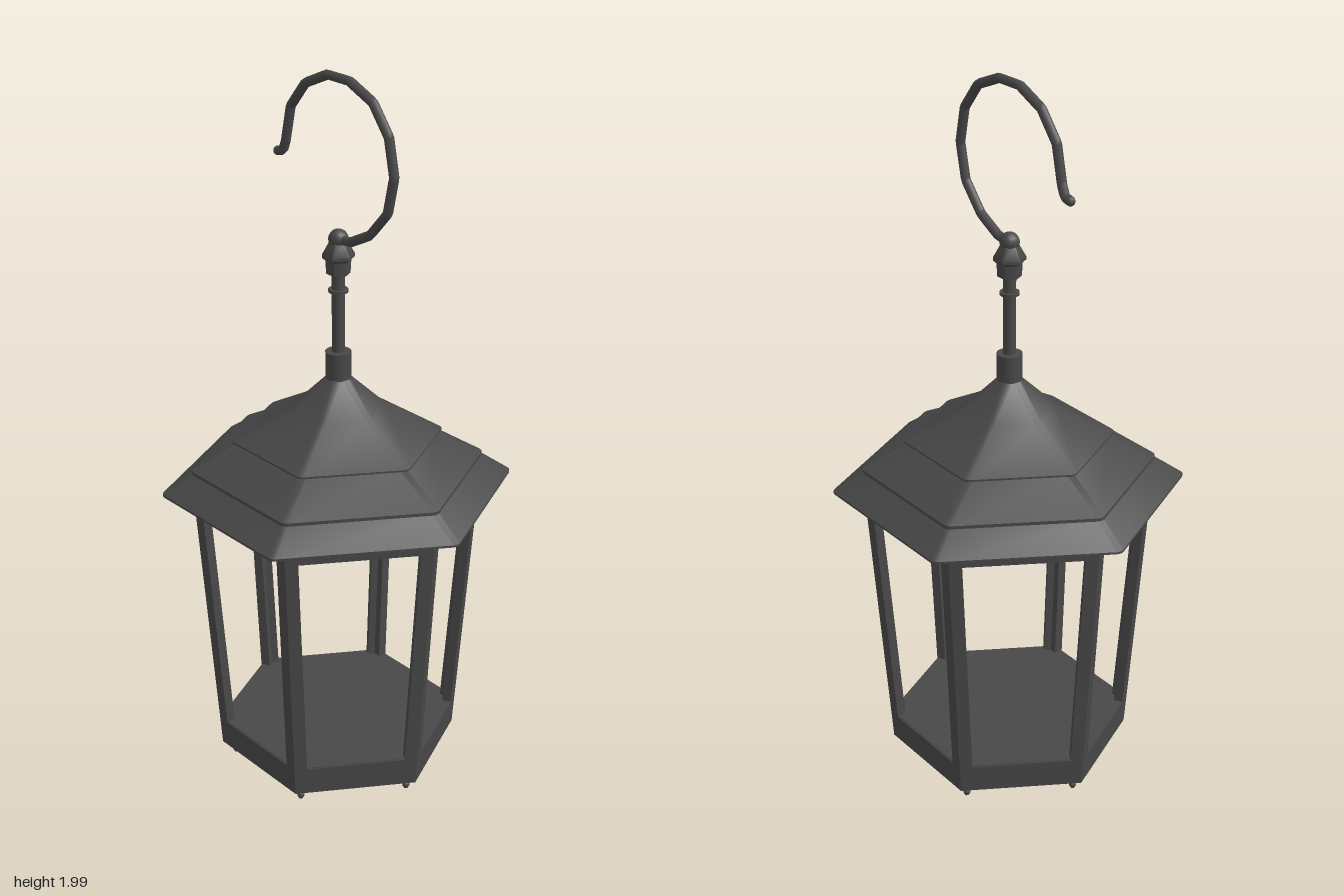
import * as THREE from 'three';
import { toCreasedNormals } from 'three/addons/utils/BufferGeometryUtils.js';

const iron = new THREE.MeshStandardMaterial({ color: 0x484848 });

// Points of a hexagon (corner on +x) with slightly rounded corners
function hexRing(r, y, bevel) {
  const b = Math.min(bevel, r * 0.7), c = r - b / Math.cos(Math.PI / 6), pts = [];
  for (let k = 0; k < 6; k++) {
    const a = k * Math.PI / 3;
    for (let s = -1; s <= 1; s++) {
      const t = a + s * Math.PI / 6;
      pts.push([c * Math.cos(a) + b * Math.cos(t), y, -c * Math.sin(a) - b * Math.sin(t)]);
    }
  }
  return pts;
}

// Hexagonal solid through a profile of [corner radius, y], walked upwards on the outside
function hexLoft(profile, bevel, crease = 0.55) {
  const rings = profile.map(([r, y]) => hexRing(r, y, bevel)), pos = [];
  for (let i = 0; i + 1 < rings.length; i++) {
    const lo = rings[i], hi = rings[i + 1];
    for (let j = 0; j < lo.length; j++) {
      const n = (j + 1) % lo.length;
      if (profile[i][0] > 0) pos.push(...lo[j], ...lo[n], ...hi[n]);
      if (profile[i + 1][0] > 0) pos.push(...lo[j], ...hi[n], ...hi[j]);
    }
  }
  const g = new THREE.BufferGeometry();
  g.setAttribute('position', new THREE.Float32BufferAttribute(pos, 3));
  return toCreasedNormals(g, crease);
}

function outline(target, points) {
  points.forEach(([x, y], i) => (i ? target.lineTo(x, y) : target.moveTo(x, y)));
  target.closePath();
  return target;
}

export function createModel() {
  const model = new THREE.Group();
  model.name = 'hangingLantern';
  const add = (name, geometry, parent = model) => {
    const mesh = new THREE.Mesh(geometry, iron);
    mesh.name = name;
    parent.add(mesh);
    return mesh;
  };

  // Roof: three overlapping hexagonal tiers
  add('roofEave', hexLoft([[0, 0.895], [0.47, 0.895], [0.47, 0.901], [0.385, 0.958], [0, 0.958]], 0.02));
  add('roofMiddle', hexLoft([[0, 0.953], [0.392, 0.953], [0.392, 0.962], [0.25, 1.038], [0, 1.038]], 0.02));
  add('roofTop', hexLoft([[0, 1.033], [0.28, 1.033], [0.28, 1.038], [0.127, 1.122],
    [0.035, 1.205], [0, 1.205]], 0.02));

  // Six tapered window frames leaning outwards
  const y0 = 0.116, y1 = 0.9, r0 = 0.328, r1 = 0.387, cos30 = Math.cos(Math.PI / 6);
  const lean = Math.atan2((r1 - r0) * cos30, y1 - y0), stretch = 1 / Math.cos(lean);
  const radius = y => r0 + (r1 - r0) * (y - y0) / (y1 - y0);
  const at = (y, side, inset) => [side * (radius(y) / 2 - inset), (y - y0) * stretch];
  const frameShape = outline(new THREE.Shape(),
    [at(y0, -1, 0), at(y0, 1, 0), at(y1, 1, 0), at(y1, -1, 0)]);
  const sill = 0.195, lintel = 0.837;
  frameShape.holes.push(outline(new THREE.Path(),
    [at(sill, -1, 0.034), at(lintel, -1, 0.034), at(lintel, 1, 0.034), at(sill, 1, 0.034)]));
  const depth = 0.025;
  const frameGeo = new THREE.ExtrudeGeometry(frameShape, { depth, bevelEnabled: false });
  frameGeo.translate(0, 0, -depth).rotateX(lean).translate(0, y0, r0 * cos30);
  const frames = new THREE.Group();
  frames.name = 'windowFrames';
  model.add(frames);
  for (let k = 0; k < 6; k++) add('windowFrame', frameGeo, frames).rotation.y = k * Math.PI / 3;

  // Ceiling slab level with the window tops
  add('ceiling', hexLoft([[0, lintel], [radius(lintel) - 0.004, lintel], [0.382, 0.897], [0, 0.897]], 0.012));

  // Base: floor level with the sills, softly shaded bowl beneath
  add('baseBowl', hexLoft([[0, 0.007], [0.07, 0.012], [0.14, 0.027], [0.215, 0.113], [0.325, 0.114],
    [radius(sill) - 0.004, sill + 0.002], [0, sill + 0.002]], 0.015, 1.2));

  // Small pin feet under the corners
  const feet = new THREE.Group();
  feet.name = 'feet';
  model.add(feet);
  const pin = new THREE.CylinderGeometry(0.006, 0.006, 0.04, 8);
  const ball = new THREE.SphereGeometry(0.01, 10, 8);
  for (let k = 0; k < 6; k++) {
    const a = k * Math.PI / 3, x = 0.29 * Math.cos(a), z = 0.29 * Math.sin(a);
    add('footPin', pin, feet).position.set(x, 0.1, z);
    add('footBall', ball, feet).position.set(x, 0.09, z);
  }

  // Stem with its socket, ring and hexagonal collar
  const stem = (name, r, from, to) =>
    add(name, new THREE.CylinderGeometry(r, r, to - from, 16)).position.set(0, (from + to) / 2, 0);
  stem('stemSocket', 0.034, 1.19, 1.275);
  stem('stemRod', 0.017, 1.27, 1.5);
  stem('stemRing', 0.026, 1.437, 1.445);
  add('stemCollar', hexLoft([[0, 1.487], [0.032, 1.487], [0.034, 1.522], [0.043, 1.53], [0.043, 1.538],
    [0.025, 1.57], [0, 1.575]], 0.004));
  add('stemBall', new THREE.SphereGeometry(0.026, 14, 10)).position.set(0, 1.578, 0);

  // Hook: a faceted loop ending in a small outward curl
  const points = [[0, 1.575], [0.05, 1.582], [0.122, 1.618], [0.188, 1.69], [0.21, 1.785], [0.189, 1.88],
    [0.13, 1.952], [0.042, 1.987], [-0.042, 1.987], [-0.128, 1.95], [-0.188, 1.88], [-0.21, 1.785],
    [-0.222, 1.757], [-0.243, 1.752]].map(([x, y]) => new THREE.Vector3(x, y, 0));
  const path = new THREE.CurvePath();
  for (let i = 0; i + 1 < points.length; i++) path.add(new THREE.LineCurve3(points[i], points[i + 1]));
  add('hook', new THREE.TubeGeometry(path, 120, 0.0125, 8));
  add('hookTip', new THREE.SphereGeometry(0.0125, 10, 8)).position.copy(points.at(-1));

  return model;
}
